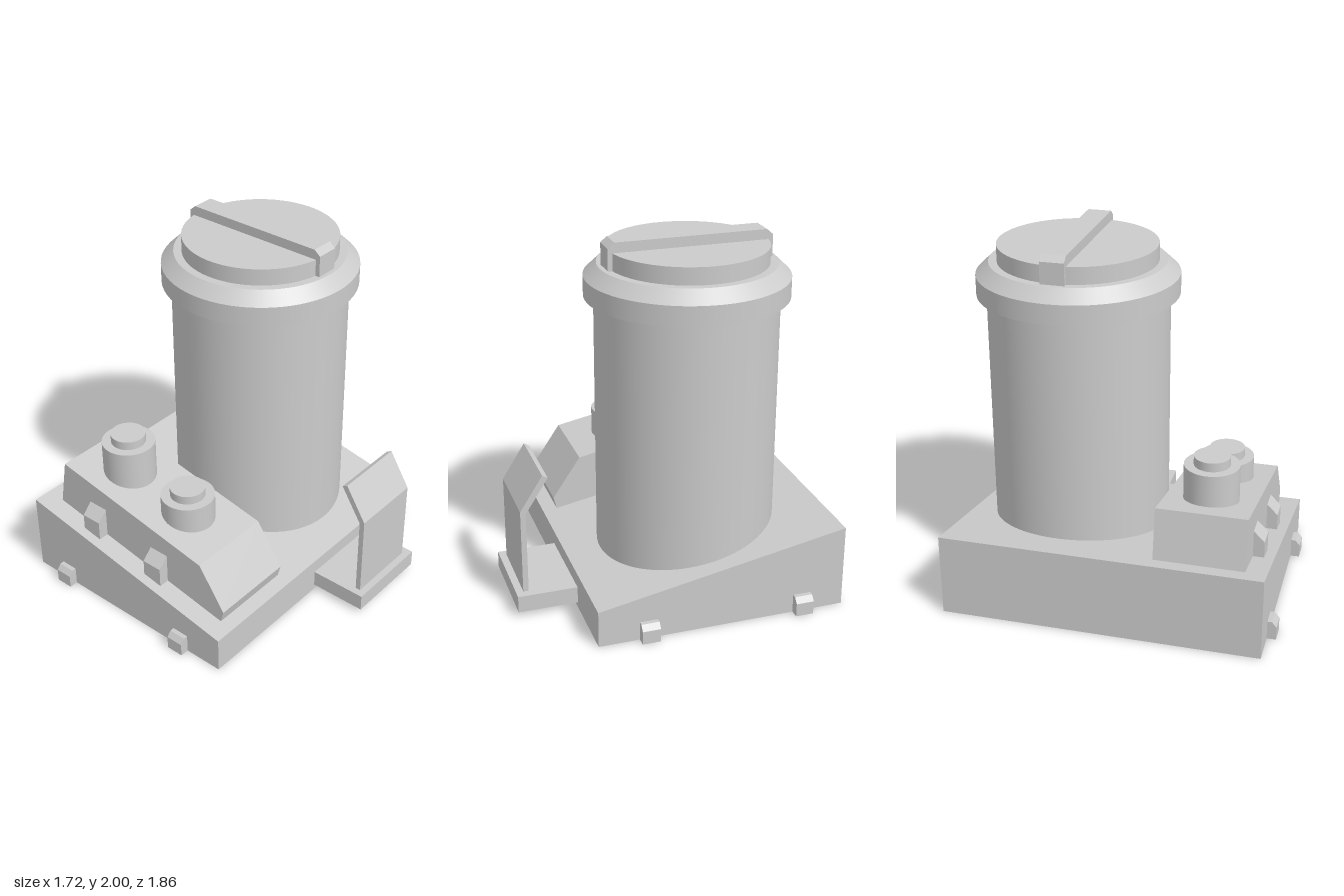
import * as THREE from 'three';

const grey = new THREE.MeshStandardMaterial({ color: 0xcccccc });
const shell = new THREE.MeshStandardMaterial({ color: 0xcccccc, side: THREE.DoubleSide });

export function createModel() {
  const group = new THREE.Group();

  const add = (name, geometry, x = 0, y = 0, z = 0, material = grey) => {
    const mesh = new THREE.Mesh(geometry, material);
    mesh.name = name;
    mesh.position.set(x, y, z);
    group.add(mesh);
    return mesh;
  };

  // Outline extruded by depth, centred on its own z
  const prism = (points, depth) => {
    const shape = new THREE.Shape(points.map(([x, y]) => new THREE.Vector2(x, y)));
    return new THREE.ExtrudeGeometry(shape, { depth, bevelEnabled: false }).translate(0, 0, -depth / 2);
  };

  // Upright round part between two heights
  const round = (name, x, z, y0, y1, rBottom, rTop = rBottom, sides = 64) =>
    add(name, new THREE.CylinderGeometry(rTop, rBottom, y1 - y0, sides), x, (y0 + y1) / 2, z);

  // Small catch: profile runs along z, width along x
  const catchGeometry = (profile, width) => prism(profile, width).rotateY(-Math.PI / 2);

  // Height of the sloping top of the base
  const deck = (x) => 0.465 - (0.26 / 1.385) * (x + 0.86);

  // Base: wedge-shaped housing, open underneath
  const base = new THREE.BoxGeometry(1.385, 1, 1.76).translate(-0.1675, 0.5, 0);
  const pos = base.attributes.position;
  for (let i = 0; i < pos.count; i++) {
    if (pos.getY(i) > 0.5) pos.setY(i, deck(pos.getX(i)));
  }
  const index = Array.from(base.index.array);
  index.splice(18, 6);
  base.setIndex(index);
  base.clearGroups();
  base.computeVertexNormals();
  add('base', base, 0, 0, 0, shell);

  // Feet catches on the front and back of the base
  const foot = catchGeometry([[-0.03, 0], [0.05, 0], [0.05, 0.075], [0.025, 0.105], [-0.03, 0.105]], 0.1);
  for (const x of [-0.62, 0.25]) {
    add('frontFootCatch', foot, x, 0, 0.88);
    add('backFootCatch', foot, x, 0, -0.88).rotation.y = Math.PI;
  }

  // Main canister, collar and lid
  const cx = -0.152, cz = -0.285;
  round('canister', cx, cz, 0.16, 1.68, 0.492);
  round('collar', cx, cz, 1.675, 1.785, 0.545);
  round('collarBevel', cx, cz, 1.785, 1.852, 0.545, 0.475);
  round('lid', cx, cz, 1.85, 1.945, 0.43);
  add('lidHandle', prism([
    [-0.45, 1.852], [0.45, 1.852], [0.45, 1.97], [0.415, 2], [-0.415, 2], [-0.45, 1.97],
  ], 0.13), cx, 0, cz);

  // Sloping control console
  add('console', prism([
    [-0.764, 0.425], [0.44, 0.2], [0.445, 0.22], [0.463, 0.29], [0.3, 0.53], [-0.71, 0.725],
  ], 0.49), 0, 0, 0.52);

  // Two stepped knobs and the console catches below them
  for (const [x, bottom, top] of [[-0.44, 0.34, 0.88], [0, 0.18, 0.72]]) {
    round('knob', x, 0.518, bottom, top, 0.15, 0.15, 48);
    round('knobCap', x, 0.518, top, top + 0.05, 0.098, 0.098, 48);
  }
  const consoleCatch = catchGeometry([[-0.03, -0.01], [0.06, -0.01], [0.06, 0.115], [0, 0.175], [-0.03, 0.175]], 0.12);
  for (const x of [-0.46, 0]) add('consoleCatch', consoleCatch, x, deck(x) - 0.012, 0.765);

  // Side plate carrying the bent lever
  add('sidePlate', new THREE.BoxGeometry(0.33, 0.095, 0.51), 0.69, 0.0775, -0.22);
  add('lever', prism([
    [0.785, 0.12], [0.815, 0.12], [0.815, 0.605], [0.69, 0.802], [0.66, 0.785], [0.785, 0.59],
  ], 0.42), 0, 0, -0.217);

  return group;
}
